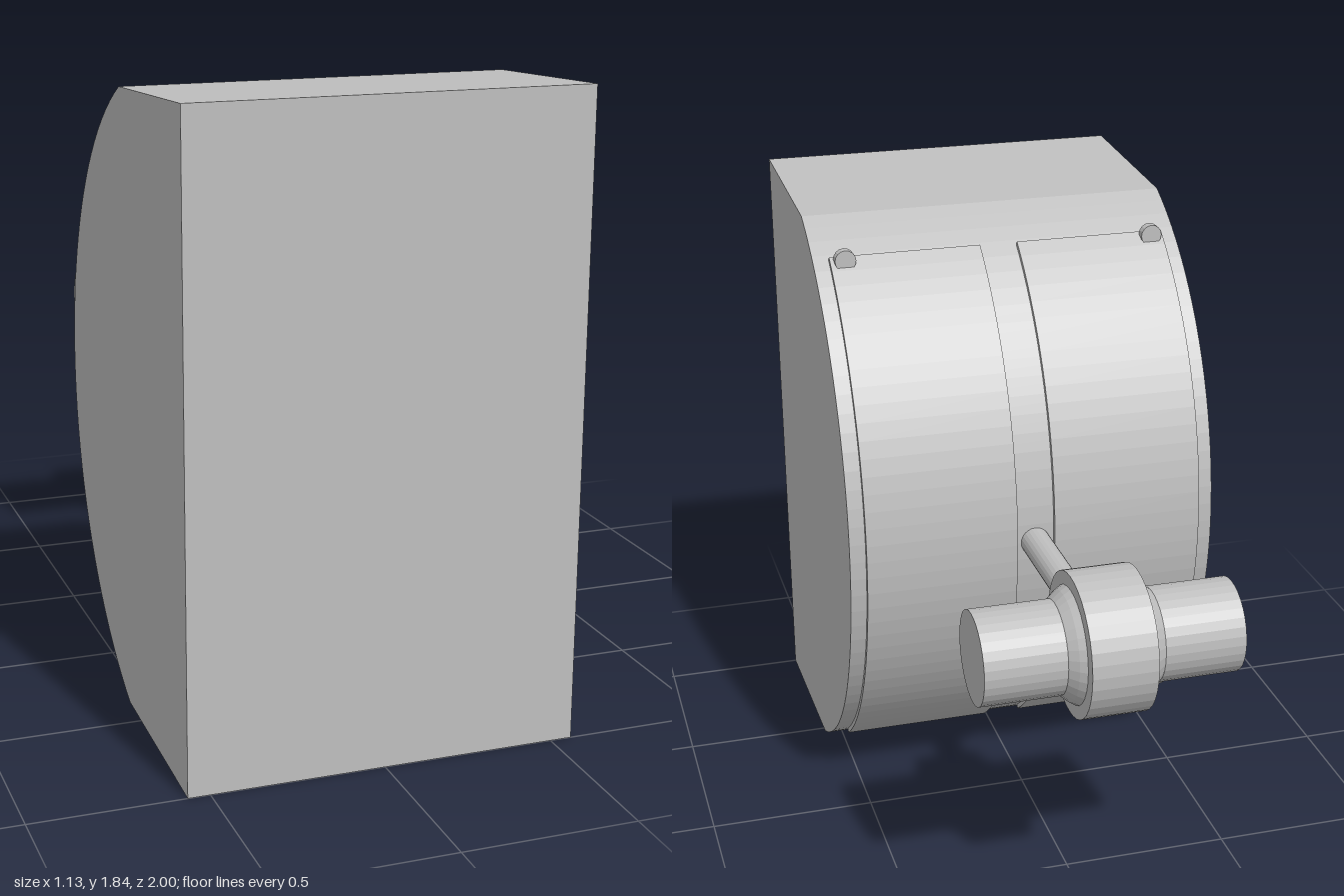
import * as THREE from 'three';

const MID_Y = 0.92, ARC_Z = 0.84, ARC_R = 0.98, BAR_Z = -0.795;

// Points on the curved back, in shape space (x = -z)
function arcPoints(radius, from, to, steps) {
  return Array.from({ length: steps + 1 }, (_, i) => {
    const a = from + (to - from) * i / steps;
    return new THREE.Vector2(-ARC_Z + radius * Math.cos(a), MID_Y + radius * Math.sin(a));
  });
}

// Side profile extruded across x
function extrudeX(points, x0, x1) {
  const g = new THREE.ExtrudeGeometry(new THREE.Shape(points), { depth: x1 - x0, bevelEnabled: false });
  return g.rotateY(Math.PI / 2).translate(x0, 0, 0);
}

// Faceted surface
function faceted(g) {
  const flat = g.toNonIndexed();
  flat.computeVertexNormals();
  return flat;
}

export function createModel() {
  const group = new THREE.Group();
  const grey = new THREE.MeshStandardMaterial({ color: 0xbfbfbf });
  grey.name = 'grey';
  const add = (name, geometry) => {
    const mesh = new THREE.Mesh(geometry, grey);
    mesh.name = name;
    group.add(mesh);
    return mesh;
  };

  // Body: flat front, slightly tapering top and bottom, round back
  const half = Math.asin(0.89 / ARC_R);
  add('body', extrudeX([
    new THREE.Vector2(-1, 0),
    ...arcPoints(ARC_R, -half, half, 40),
    new THREE.Vector2(-1, 1.84),
  ], -0.563, 0.563));

  // Curved back plates with a small round stud near each top corner
  const span = Math.acos(0.57 / ARC_R);
  const plate = [
    ...arcPoints(ARC_R + 0.014, -span, span, 36),
    ...arcPoints(ARC_R - 0.006, span, -span, 36),
  ];
  for (const [side, x0, x1] of [['left', 0.055, 0.515], ['right', -0.518, -0.06]]) {
    add(side + 'BackPlate', extrudeX(plate, x0, x1));
    const stud = faceted(new THREE.CylinderGeometry(0.032, 0.032, 0.027, 16).rotateX(Math.PI / 2));
    add(side + 'Stud', stud).position.set(side === 'left' ? 0.472 : -0.477, 1.723, 0.242);
  }

  // Rod reaching back to the crossbar
  add('rod', faceted(new THREE.CylinderGeometry(0.044, 0.044, 0.55, 24).rotateX(Math.PI / 2)))
    .position.set(-0.003, MID_Y, -0.375);

  // Crossbar with a ball joint and a wide ring in the middle
  const barPart = (name, geometry) =>
    add(name, faceted(geometry.rotateZ(Math.PI / 2))).position.set(-0.002, MID_Y, BAR_Z);
  barPart('crossbar', new THREE.CylinderGeometry(0.133, 0.133, 0.735, 32));
  barPart('ballJoint', new THREE.SphereGeometry(0.191, 32, 20));
  barPart('ring', new THREE.CylinderGeometry(0.205, 0.205, 0.186, 36));

  return group;
}
